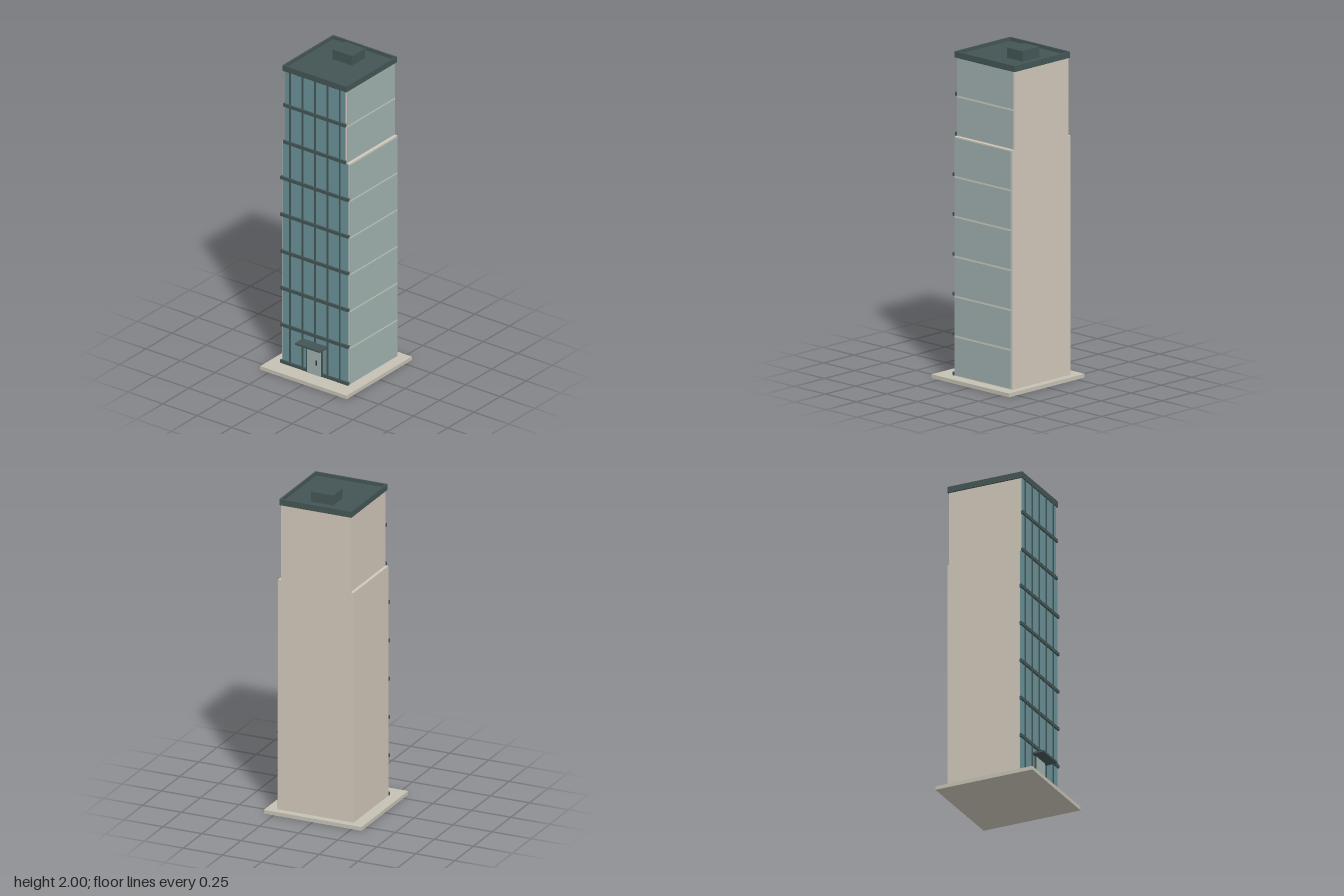
import * as THREE from 'three';

const mat = (name, color) => {
  const m = new THREE.MeshStandardMaterial({ color });
  m.name = name;
  return m;
};

export function createModel() {
  const wall = mat('warm wall', 0xd0c7b8);
  const stone = mat('plinth stone', 0xc4c1b3);
  const glass = mat('blue glass', 0x6b929a);
  const panel = mat('pale panel', 0x9fb0ae);
  const trim = mat('dark trim', 0x445555);
  const metal = mat('handle metal', 0x2b3839);

  const model = new THREE.Group();
  model.name = 'tower';

  // Box given by its lower and upper limits on each axis
  const box = (name, m, [x0, x1], [y0, y1], [z0, z1], parent = model) => {
    const mesh = new THREE.Mesh(new THREE.BoxGeometry(x1 - x0, y1 - y0, z1 - z0), m);
    mesh.position.set((x0 + x1) / 2, (y0 + y1) / 2, (z0 + z1) / 2);
    mesh.name = name;
    parent.add(mesh);
    return mesh;
  };

  box('plinth', stone, [-0.313, 0.313], [0, 0.023], [-0.313, 0.313]);

  // Storeys: the top two are narrower
  const floors = 8, base = 0.023, height = 0.2383;
  for (let i = 0; i < floors; i++) {
    const storey = new THREE.Group();
    storey.name = `storey${i + 1}`;
    model.add(storey);
    const w = i < 6 ? 0.242 : 0.222;
    const y0 = base + i * height, y1 = y0 + height;

    box('walls', wall, [-w, w], [y0, y1], [-0.27, 0.196], storey);
    box('frontGlass', glass, [-w + 0.004, w - 0.004], [y0, y1], [0.196, 0.2], storey);
    box('sidePanel', panel, [w, w + 0.006], [y0 + 0.006, y1 - 0.005], [-0.262, 0.19], storey);
    box('ledge', trim, [-w - 0.004, w + 0.003], [y0 + 0.001, y0 + 0.021], [0.196, 0.21], storey);
    for (let k = -2; k <= 2; k++) {
      const x = k * 0.09;
      box('mullion', trim, [x - 0.005, x + 0.005], [y0, y1], [0.199, 0.205], storey);
    }
  }

  // Entrance: frame, door, handle and canopy
  const entrance = new THREE.Group();
  entrance.name = 'entrance';
  model.add(entrance);
  box('doorFrame', trim, [-0.057, 0.057], [base, 0.216], [0.199, 0.2105], entrance);
  box('door', panel, [-0.05, 0.05], [base, 0.209], [0.205, 0.213], entrance);
  box('handle', metal, [0.016, 0.024], [0.09, 0.12], [0.212, 0.22], entrance);
  box('canopy', trim, [-0.09, 0.09], [0.215, 0.226], [0.199, 0.275], entrance);

  // Roof deck with a raised rim and a plant box
  const roof = new THREE.Group();
  roof.name = 'roof';
  model.add(roof);
  box('deck', trim, [-0.222, 0.222], [1.922, 1.937], [-0.268, 0.198], roof);
  const rect = (path, x, z0, z1) => path
    .moveTo(-x, -z1).lineTo(x, -z1).lineTo(x, -z0).lineTo(-x, -z0).closePath();
  const outline = new THREE.Shape();
  rect(outline, 0.231, -0.277, 0.207);
  const hole = new THREE.Path();
  rect(hole, 0.221, -0.267, 0.197);
  outline.holes.push(hole);
  const rim = new THREE.Mesh(
    new THREE.ExtrudeGeometry(outline, { depth: 0.037, bevelEnabled: false }), trim);
  rim.name = 'parapet';
  rim.rotation.x = -Math.PI / 2;
  rim.position.y = 1.921;
  roof.add(rim);
  box('plantBox', trim, [-0.071, 0.071], [1.93, 2], [-0.185, -0.061], roof);

  return model;
}
